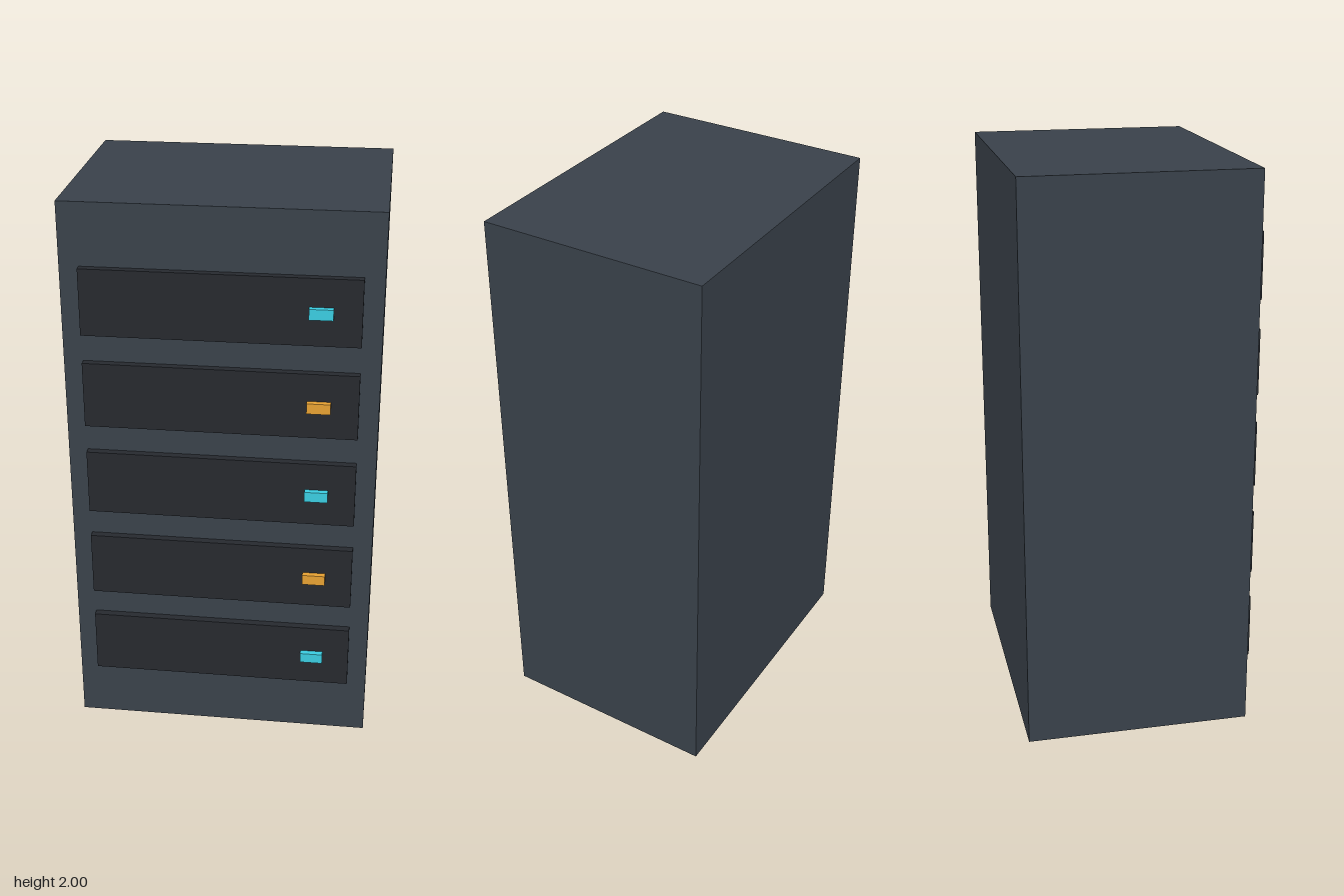
import * as THREE from 'three';

const material = (color) => new THREE.MeshStandardMaterial({ color });

export function createModel() {
  const model = new THREE.Group();
  model.name = 'serverCabinet';

  const cabinetMat = material(0x39414a);
  const panelMat = material(0x26292e);
  const lightMats = [material(0x3acce0), material(0xe6a032)];

  function box(name, size, position, mat) {
    const mesh = new THREE.Mesh(new THREE.BoxGeometry(...size), mat);
    mesh.name = name;
    mesh.position.set(...position);
    model.add(mesh);
  }

  // Cabinet body
  box('cabinet', [1.067, 2, 0.8], [0, 1, -0.024], cabinetMat);

  // Five drive panels, each with a status light of alternating colour
  for (let i = 0; i < 5; i++) {
    const y = (i + 1) / 3;
    box('drivePanel' + (i + 1), [0.933, 0.233, 0.053], [0, y, 0.3765], panelMat);
    box('statusLight' + (i + 1), [0.08, 0.037, 0.04], [0.333, y, 0.404], lightMats[i % 2]);
  }

  return model;
}
